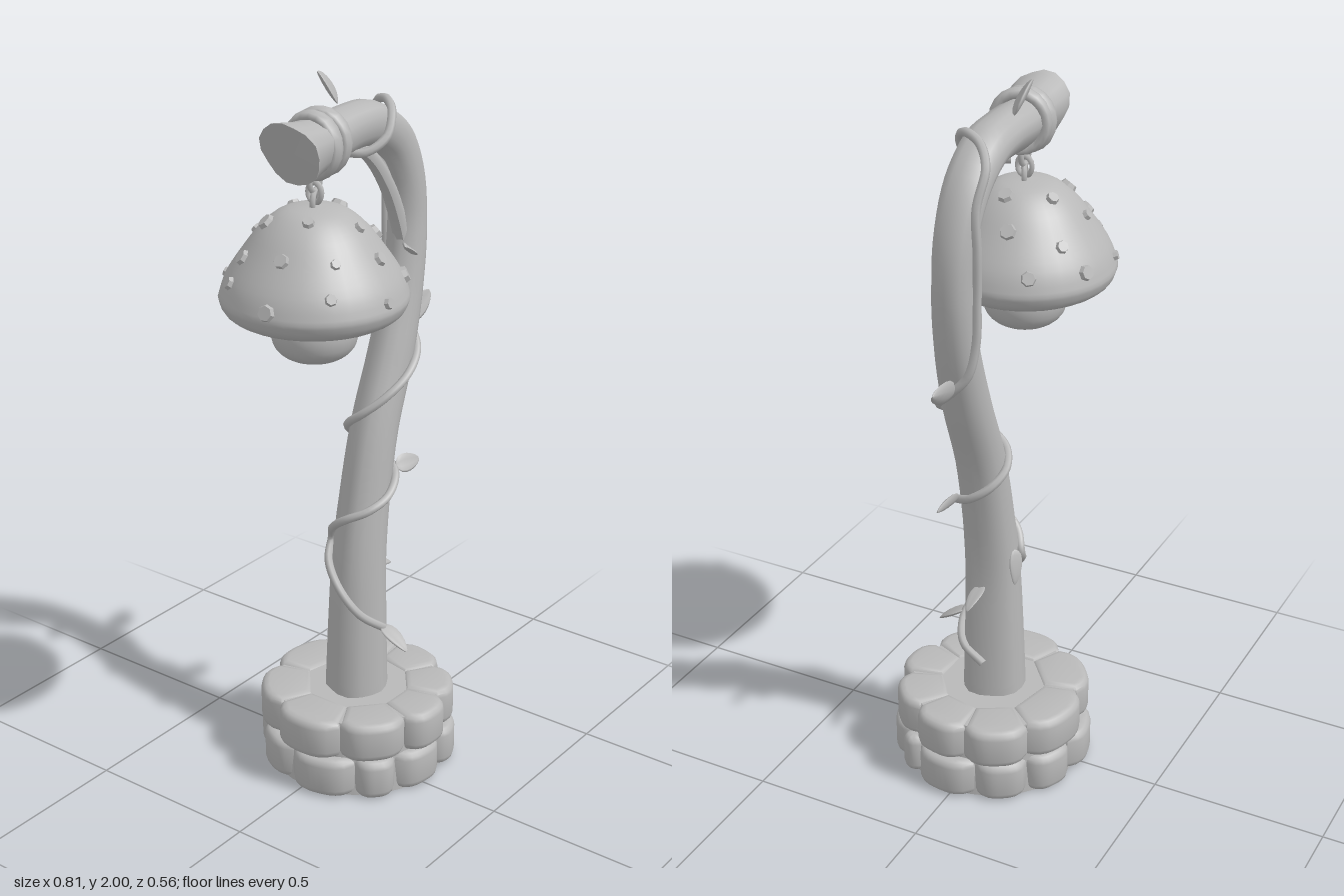
import * as THREE from 'three';
import { toCreasedNormals } from 'three/addons/utils/BufferGeometryUtils.js';

const V = (x, y, z) => new THREE.Vector3(x, y, z);
const clay = new THREE.MeshStandardMaterial({ color: 0xb8b8b8 });
clay.name = 'light grey';

// Trunk path: x, y, z, radius
const TRUNK = [
  [0.03, 0.2, 0, 0.09], [0.033, 0.42, 0, 0.083], [0.04, 0.62, 0, 0.076], [0.065, 0.8, 0, 0.07],
  [0.11, 1.0, 0, 0.066], [0.185, 1.2, 0, 0.063], [0.245, 1.4, -0.005, 0.056], [0.265, 1.56, -0.01, 0.053],
  [0.245, 1.69, -0.012, 0.056], [0.19, 1.79, -0.014, 0.06], [0.1, 1.848, -0.012, 0.062],
  [0, 1.858, -0.006, 0.061], [-0.12, 1.85, 0.006, 0.064], [-0.21, 1.85, 0.018, 0.072], [-0.275, 1.853, 0.025, 0.084],
];

export function createModel() {
  const model = new THREE.Group();
  const add = (name, geometry, parent = model) => {
    const mesh = new THREE.Mesh(geometry, clay);
    mesh.name = name;
    parent.add(mesh);
    return mesh;
  };
  const group = (name) => {
    const g = new THREE.Group();
    g.name = name;
    model.add(g);
    return g;
  };

  // Stone base: two courses of uneven wedge stones around a core
  const base = group('stoneBase');
  base.position.x = 0.035;
  add('baseCore', new THREE.CylinderGeometry(0.235, 0.25, 0.222, 32).translate(0, 0.111, 0), base);
  const course = (name, edges, top, height, R) => edges.forEach((start, i) => {
    const end = i + 1 < edges.length ? edges[i + 1] : edges[0] + 360;
    const bevel = 0.022, gap = 0.025 / R;
    const a0 = THREE.MathUtils.degToRad(start) + gap, a1 = THREE.MathUtils.degToRad(end) - gap;
    const shape = new THREE.Shape();
    const wobble = 0.004 * Math.sin(i * 2.3);
    for (let k = 0; k <= 10; k++) {
      const t = k / 10, a = a0 + (a1 - a0) * t;
      const r = R - bevel + wobble - 0.022 * Math.abs(2 * t - 1) ** 4;
      if (k === 0) shape.moveTo(r * Math.cos(a), r * Math.sin(a));
      else shape.lineTo(r * Math.cos(a), r * Math.sin(a));
    }
    const mid = (a0 + a1) / 2, half = (a1 - a0) * 0.47;
    for (const s of [1, -1]) shape.lineTo(0.16 * Math.cos(mid + s * half), 0.16 * Math.sin(mid + s * half));
    const g = new THREE.ExtrudeGeometry(shape, {
      depth: height - 2 * bevel, bevelThickness: bevel, bevelSize: bevel, bevelSegments: 3,
    });
    g.rotateX(Math.PI / 2).translate(0, top - bevel, 0);
    add(name, toCreasedNormals(g, 0.8), base);
  });
  course('upperStone', [32, 72, 110, 155, 205, 255, 310, 352], 0.23, 0.115, 0.276);
  course('lowerStone', [28, 45, 78, 118, 145, 190, 230, 275, 310, 345], 0.116, 0.116, 0.279);

  // Tapered sweep with bark ridges and closed ends
  const sweep = (path, sides, segments, ridge) => {
    const curve = new THREE.CatmullRomCurve3(path.map((p) => V(p[0], p[1], p[2])));
    const pos = [], index = [];
    for (let i = 0; i <= segments; i++) {
      const t = i / segments, f = t * (path.length - 1), k = Math.min(Math.floor(f), path.length - 2);
      const radius = THREE.MathUtils.lerp(path[k][3], path[k + 1][3], f - k);
      const P = curve.getPoint(t), T = curve.getTangent(t);
      const B = V(0, 0, 1).addScaledVector(T, -T.z).normalize(), N = B.clone().cross(T);
      for (let j = 0; j < sides; j++) {
        const a = (j / sides) * Math.PI * 2;
        const r = radius * (1 + ridge * (Math.sin(3 * a + 2 * t) + 0.8 * Math.sin(5 * a + 4 * t)));
        const v = P.clone().addScaledVector(N, r * Math.cos(a)).addScaledVector(B, r * Math.sin(a));
        pos.push(v.x, v.y, v.z);
        if (i < segments) {
          const n = (j + 1) % sides, o = i * sides;
          index.push(o + j, o + n, o + sides + j, o + n, o + sides + n, o + sides + j);
        }
      }
    }
    const first = pos.length / 3, last = segments * sides;
    for (const p of [path[0], path[path.length - 1]]) pos.push(p[0], p[1], p[2]);
    for (let j = 0; j < sides; j++) {
      const n = (j + 1) % sides;
      index.push(first, n, j, first + 1, last + j, last + n);
    }
    const g = new THREE.BufferGeometry();
    g.setAttribute('position', new THREE.Float32BufferAttribute(pos, 3));
    g.setIndex(index);
    return g;
  };

  // Curved trunk and arm, its far end cut on a slant
  const trunk = sweep(TRUNK, 16, 56, 0.035);
  const tp = trunk.attributes.position;
  for (let i = 0; i < tp.count; i++) {
    const k = THREE.MathUtils.clamp((-0.17 - tp.getX(i)) / 0.1, 0, 1);
    tp.setX(i, tp.getX(i) - k * 0.4 * (tp.getY(i) - 1.85));
  }
  add('trunk', toCreasedNormals(trunk, 0.7));

  // Forked brace under the arm
  add('brace', toCreasedNormals(sweep([[-0.01, 1.82, 0, 0.016], [0.07, 1.775, 0.005, 0.02],
    [0.15, 1.68, 0.005, 0.021], [0.21, 1.57, 0, 0.023], [0.25, 1.45, 0, 0.024]], 8, 16, 0.03), 0.8));
  add('innerBrace', toCreasedNormals(sweep([[0.09, 1.82, -0.02, 0.014], [0.15, 1.75, -0.02, 0.014],
    [0.2, 1.65, -0.015, 0.016], [0.24, 1.54, -0.01, 0.018]], 8, 12, 0.03), 0.8));

  // Strap around the arm
  const strap = group('strap');
  [[-0.163, -0.1], [-0.13, -0.24]].forEach(([x, turn], i) => {
    const g = new THREE.TorusGeometry(0.07, 0.014, 8, 20);
    g.scale(1, 1.08, 1.7).rotateY(Math.PI / 2 - turn);
    add('strapLoop', g, strap).position.set(x, 1.848 + i * 0.004, 0.006);
  });

  // Hanging links
  [[1.755, 0], [1.725, Math.PI / 2], [1.7, 0.4]].forEach(([y, turn]) => {
    const g = new THREE.TorusGeometry(0.024, 0.008, 6, 14).scale(0.9, 1.1, 1).rotateY(turn);
    add('link', g).position.set(-0.152, y, 0.003);
  });

  // Mushroom shade
  const shade = group('mushroomLamp');
  shade.position.x = -0.153;
  const P2 = (x, y) => new THREE.Vector2(x, y);
  const slope = new THREE.SplineCurve([P2(0.247, 1.455), P2(0.228, 1.51), P2(0.182, 1.58),
    P2(0.132, 1.643), P2(0.075, 1.683), P2(0, 1.695)]);
  const under = new THREE.SplineCurve([P2(0, 1.41), P2(0.1, 1.402), P2(0.185, 1.397), P2(0.232, 1.42), P2(0.247, 1.455)]);
  add('cap', new THREE.LatheGeometry([...under.getPoints(12), ...slope.getPoints(18).slice(1)], 36), shade);
  const bulb = new THREE.SplineCurve([P2(0, 1.278), P2(0.06, 1.284), P2(0.1, 1.31), P2(0.115, 1.35), P2(0.112, 1.39), P2(0.1, 1.42)]);
  add('bulb', new THREE.LatheGeometry(bulb.getPoints(16), 28), shade);

  // Raised spots on the shade
  [[0.16, 9, 0.2], [0.42, 8, 0.6], [0.68, 5, 0.1]].forEach(([t0, count, offset], row) => {
    for (let i = 0; i < count; i++) {
      const t = t0 + 0.06 * Math.sin(i * 2.7 + row), a = offset + (i / count) * Math.PI * 2;
      const p = slope.getPoint(t), d = slope.getTangent(t);
      const s = 0.021 + 0.005 * Math.sin(i * 1.9 + row);
      const spot = add('spot', toCreasedNormals(new THREE.CylinderGeometry(s * 0.75, s, 0.02, 7), 0.5), shade);
      spot.position.set(p.x * Math.cos(a), p.y, p.x * Math.sin(a));
      spot.quaternion.setFromUnitVectors(V(0, 1, 0), V(d.y * Math.cos(a), -d.x, d.y * Math.sin(a)).normalize());
    }
  });

  // Vine winding up the trunk: angle (0 = +x, 90 = +z) and height
  const around = ([deg, y]) => {
    let k = 0;
    while (k < 8 && TRUNK[k + 1][1] < y) k++;
    const A = TRUNK[k], B = TRUNK[k + 1], f = (y - A[1]) / (B[1] - A[1]);
    const [x, , z, r] = A.map((v, i) => v + (B[i] - v) * f);
    const a = THREE.MathUtils.degToRad(deg);
    return V(x + (r + 0.008) * Math.cos(a) * 1.04, y, z + (r + 0.008) * Math.sin(a));
  };
  const winding = [[-10, 0.34], [40, 0.38], [90, 0.43], [140, 0.49], [180, 0.56], [225, 0.62], [250, 0.67], [220, 0.72],
    [180, 0.76], [135, 0.79], [90, 0.82], [45, 0.86], [0, 0.89], [-45, 0.93], [-90, 0.97], [-135, 1.01], [-180, 1.05],
    [-225, 1.1], [-270, 1.15], [-315, 1.2], [-360, 1.25], [-405, 1.31], [-440, 1.4], [-455, 1.52], [-445, 1.64]];
  const vine = new THREE.CatmullRomCurve3([...winding.map(around),
    V(0.255, 1.76, -0.07), V(0.215, 1.85, -0.075), V(0.175, 1.893, -0.04), V(0.145, 1.905, 0.01),
    V(0.11, 1.885, 0.05), V(0.065, 1.83, 0.066), V(0.015, 1.795, 0.035), V(-0.01, 1.795, -0.03)]);
  add('vine', new THREE.TubeGeometry(vine, 180, 0.012, 7));

  // Leaves: base, tip, half width, facing
  const leaf = (from, to, width, facing) => {
    const a = V(...from), b = V(...to), len = a.distanceTo(b);
    const dir = b.clone().sub(a).normalize();
    const side = dir.clone().cross(V(...facing)).normalize();
    const g = new THREE.SphereGeometry(1, 10, 8);
    const p = g.attributes.position;
    for (let i = 0; i < p.count; i++) {
      const t = (p.getY(i) + 1) / 2, w = 1.25 - 0.7 * t;
      p.setXYZ(i, p.getX(i) * w * width, t * len, p.getZ(i) * 0.007 + 0.25 * Math.abs(p.getX(i)) * width);
    }
    g.computeVertexNormals();
    g.applyMatrix4(new THREE.Matrix4().makeBasis(side, dir, side.clone().cross(dir)).setPosition(a));
    add('leaf', g);
  };
  leaf([0.005, 1.915, -0.045], [-0.04, 2.0, -0.075], 0.034, [0.7, 0.2, 1]);
  leaf([0.285, 1.265, -0.02], [0.4, 1.305, -0.022], 0.036, [0, 0.3, 1]);
  leaf([0.15, 0.875, 0.045], [0.24, 0.87, 0.06], 0.028, [0, 0.5, 1]);
  leaf([0.1, 0.58, 0.0], [0.19, 0.545, 0.0], 0.024, [0.3, 1, 0.3]);
  leaf([0.03, 0.435, 0.09], [0.03, 0.38, 0.175], 0.03, [0, 1, 0.7]);
  leaf([0.05, 0.69, -0.075], [0.07, 0.59, -0.085], 0.022, [0.6, 0, -1]);
  leaf([0.225, 1.475, 0.035], [0.14, 1.52, 0.075], 0.026, [0.3, 1, 0.5]);
  return model;
}
